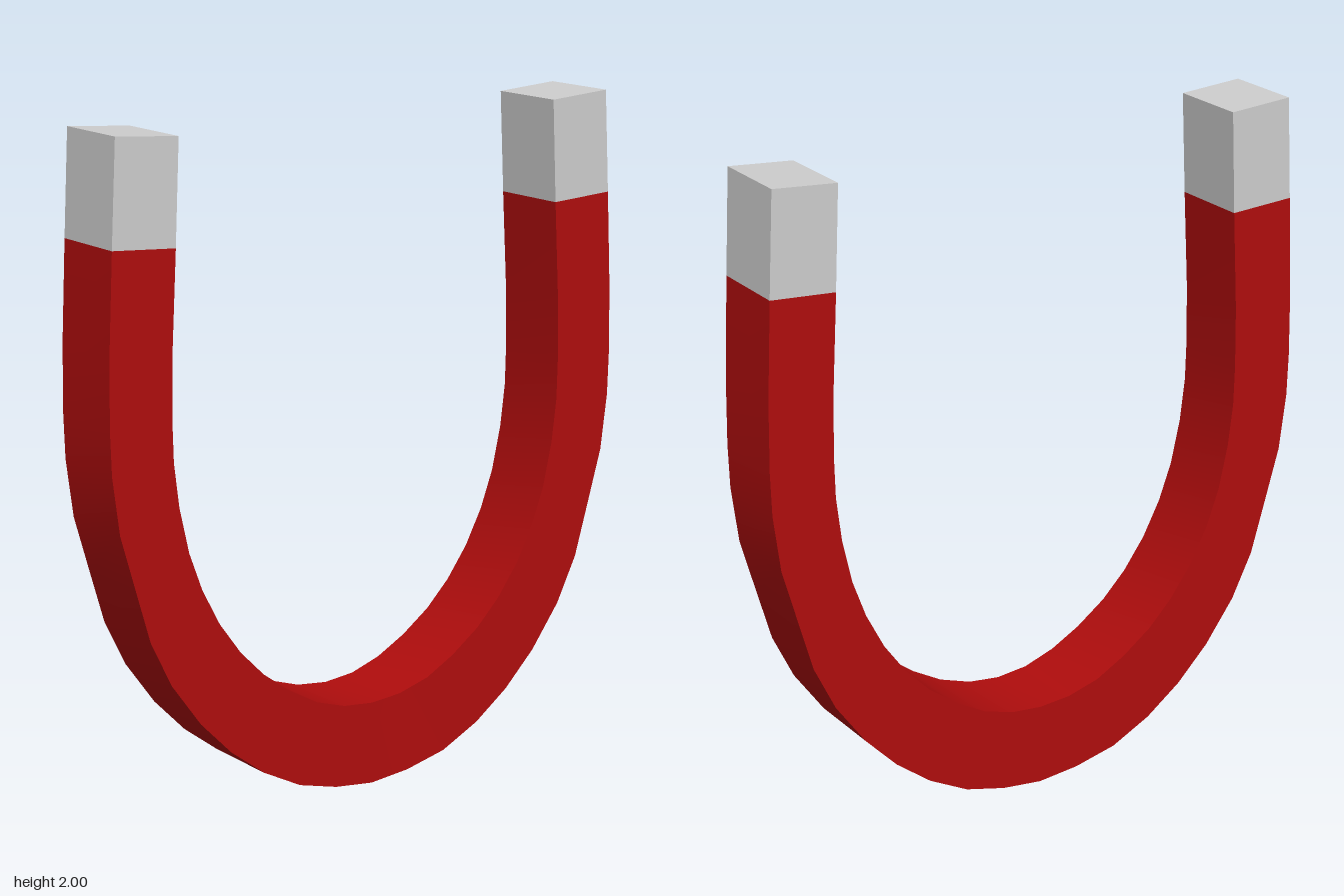
import * as THREE from 'three';
import { toCreasedNormals } from 'three/addons/utils/BufferGeometryUtils.js';

// Half of the bow, from bottom centre to pole: [outer x, outer y, inner x, inner y]
const HALF = [
  [0, 0, 0, 0.25], [0.13, 0.015, 0.1, 0.26], [0.262, 0.05, 0.2, 0.292],
  [0.388, 0.115, 0.295, 0.345], [0.5, 0.2, 0.387, 0.413], [0.602, 0.305, 0.465, 0.493],
  [0.697, 0.437, 0.535, 0.59], [0.764, 0.575, 0.592, 0.7], [0.81, 0.735, 0.634, 0.815],
  [0.857, 0.9, 0.664, 0.95], [0.879, 1.07, 0.68, 1.08], [0.883, 1.2, 0.683, 1.2],
  [0.88, 1.4, 0.68, 1.38], [0.866, 1.693, 0.664, 1.68], [0.85, 2, 0.65, 1.985],
];

// Four corners of the rectangular cross-section at station i (negative = right arm)
function section(i) {
  const s = i < 0 ? -1 : 1;
  const [ox, oy, ix, iy] = HALF[Math.abs(i)];
  const d = i === 0 ? 0.119 : Math.abs(i) === 1 ? 0.121 : 0.125;
  return [[s * ox, oy, d], [s * ox, oy, -d], [s * ix, iy, -d], [s * ix, iy, d]];
}

// Closed bar through stations from..to, smooth along the curve with sharp long edges
function bar(from, to) {
  const pos = [];
  const quad = (a, b, c, d) => pos.push(...a, ...b, ...c, ...a, ...c, ...d);
  for (let i = from; i < to; i++) {
    const p = section(i), q = section(i + 1);
    for (let k = 0; k < 4; k++) {
      const n = (k + 1) % 4;
      quad(p[k], p[n], q[n], q[k]);
    }
  }
  const start = section(from), end = section(to);
  quad(start[3], start[2], start[1], start[0]);
  quad(...end);
  const geo = new THREE.BufferGeometry();
  geo.setAttribute('position', new THREE.Float32BufferAttribute(pos, 3));
  return toCreasedNormals(geo, Math.PI / 5);
}

export function createModel() {
  const red = new THREE.MeshStandardMaterial({ color: 0xb00d0d });
  red.name = 'red paint';
  const steel = new THREE.MeshStandardMaterial({ color: 0xcecece });
  steel.name = 'bare steel';

  const model = new THREE.Group();
  model.name = 'horseshoeMagnet';
  const last = HALF.length - 1;
  const add = (name, from, to, material) => {
    const mesh = new THREE.Mesh(bar(from, to), material);
    mesh.name = name;
    model.add(mesh);
  };
  add('bow', 1 - last, last - 1, red);
  add('leftPole', last - 1, last, steel);
  add('rightPole', -last, 1 - last, steel);
  return model;
}
